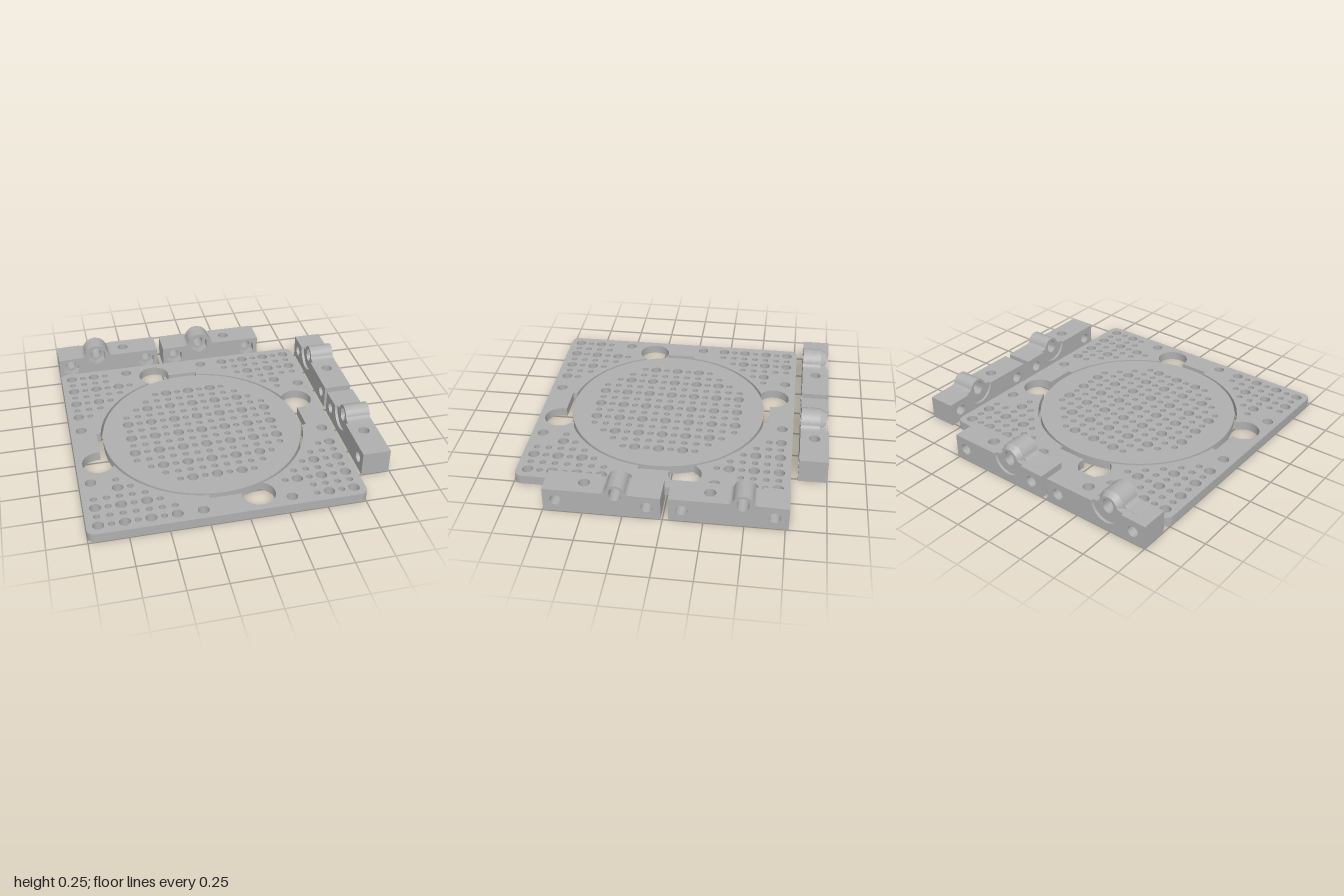
import * as THREE from 'three';
import { toCreasedNormals } from 'three/addons/utils/BufferGeometryUtils.js';

const grey = new THREE.MeshStandardMaterial({ color: 0xb0b0b0 });
grey.name = 'satin grey';

const PITCH = 0.0808, BIG = 0.036, SMALL = 0.021, THICK = 0.062;

function extrude(shape, depth) {
  return new THREE.ExtrudeGeometry(shape, { depth, bevelEnabled: false, curveSegments: 20 });
}

function mesh(parent, name, geo) {
  const m = new THREE.Mesh(toCreasedNormals(geo, 0.5), grey);
  m.name = name;
  parent.add(m);
  return m;
}

const circle = (x, y, r) => new THREE.Path().absarc(x, y, r, 0, Math.PI * 2, false);

// Hexagon with a corner pointing up
function hexagon(x, y, r) {
  const pts = [];
  for (let i = 0; i < 6; i++) {
    const a = Math.PI / 2 + i * Math.PI / 3;
    pts.push(new THREE.Vector2(x + r * Math.cos(a), y + r * Math.sin(a)));
  }
  return new THREE.Path(pts);
}

// Upright slot with round ends
function slot(x, y, r, halfHeight) {
  const s = halfHeight - r;
  return new THREE.Path()
    .absarc(x, y + s, r, 0, Math.PI, false)
    .absarc(x, y - s, r, Math.PI, Math.PI * 2, false);
}

// Grid hole: wide where both indices are even, narrow otherwise
function gridHole(i, j, wide = i % 2 === 0 && j % 2 === 0) {
  return circle(i * PITCH, -j * PITCH, wide ? BIG : SMALL);
}

// Ring opening with four round entries and straight bayonet notches
function ringOpening() {
  const R = 0.69, pts = [];
  for (let k = 0; k < 4; k++) {
    const local = [];
    for (let i = 0; i <= 28; i++) {
      const a = -2.076 - (i / 28) * 4.404;
      local.push([-0.208 + 0.107 * Math.cos(a), 0.733 + 0.107 * Math.sin(a)]);
    }
    local.push([0.1, 0.712]);
    const start = Math.asin(0.1 / R), end = Math.PI / 2 - 0.387;
    for (let i = 0; i < 24; i++) {
      const a = start + (end - start) * i / 24;
      local.push([R * Math.sin(a), R * Math.cos(a)]);
    }
    for (let [u, v] of local) {
      for (let n = 0; n < k; n++) [u, v] = [v, -u];
      pts.push(new THREE.Vector2(u, v));
    }
  }
  return new THREE.Path(pts);
}

function basePlate() {
  const h = 0.8825, r = 0.05, s = new THREE.Shape();
  s.absarc(h - r, h - r, r, 0, Math.PI / 2, false);
  s.absarc(-h + r, h - r, r, Math.PI / 2, Math.PI, false);
  s.absarc(-h + r, -h + r, r, Math.PI, Math.PI * 1.5, false);
  s.absarc(h - r, -h + r, r, Math.PI * 1.5, Math.PI * 2, false);
  s.holes.push(ringOpening());
  // Corner pattern: last column of each row, repeated at four corners
  const lastColumn = [-7, -7, -5, -6, -7, -8, -9];
  const cells = [[-5, -10, true], [-10, -2, true]];
  lastColumn.forEach((last, row) => {
    for (let i = -10; i <= last; i++) {
      if (row === 0 && i === -6) continue;
      cells.push([i, row - 10, undefined]);
    }
  });
  for (let k = 0; k < 4; k++) {
    for (let [i, j, wide] of cells) {
      if (wide === undefined) wide = i % 2 === 0 && j % 2 === 0;
      for (let n = 0; n < k; n++) [i, j] = [-j, i];
      s.holes.push(gridHole(i, j, wide));
    }
  }
  return extrude(s, THICK).rotateX(-Math.PI / 2);
}

function turntable() {
  const s = new THREE.Shape().absarc(0, 0, 0.674, 0, Math.PI * 2, false);
  for (let i = -6; i <= 6; i++)
    for (let j = -6; j <= 6; j++)
      if (i * i + j * j <= 46) s.holes.push(gridHole(i, j));
  return new THREE.ExtrudeGeometry(s, { depth: THICK, bevelEnabled: false, curveSegments: 48 })
    .rotateX(-Math.PI / 2);
}

// Clamp block: length along x, depth along z (negative z when flipped)
function clampBlock(withNuts, flip) {
  const g = new THREE.Group();
  g.name = withNuts ? 'nutClamp' : 'boltClamp';
  const L = 0.735, D = 0.187, H = 0.163, cx = 0.28, a0 = 0.417, a1 = 0.557, boltY = 0.083;
  const place = (name, geo, d0, d1) =>
    mesh(g, name, geo).position.z = flip ? -d1 : d0;

  // Layers from back to front: depths, boss radius at each end, notch radius, hex pockets
  const layers = withNuts
    ? [[0, 0.018, 0, 0, 0.11, false], [0.018, 0.06, 0.064, 0.086, 0.05, false],
      [0.06, 0.125, 0.088, 0.088, 0.07, false], [0.125, D, 0.088, 0.088, 0.07, true]]
    : [[0, 0.018, 0, 0, 0.11, false], [0.018, D, 0.066, 0.066, 0.05, false]];

  for (const [d0, d1, r0, r1, notch, hex] of layers) {
    const bolt = x => hex ? hexagon(x, boltY, 0.063) : circle(x, boltY, 0.037);
    // Long end with cradle for the boss
    const s = new THREE.Shape().moveTo(0, 0).lineTo(a0, 0).lineTo(a0, H);
    if (r0) {
      s.lineTo(cx + r0 + 0.03, H);
      s.quadraticCurveTo(cx + r0, H, cx + 0.92 * r0, H + 0.39 * r0);
    }
    s.lineTo(cx + notch, H);
    s.absarc(cx, H, notch, 0, -Math.PI, true);
    if (r0) {
      s.lineTo(cx - 0.92 * r0, H + 0.39 * r0);
      s.quadraticCurveTo(cx - r0, H, cx - r0 - 0.03, H);
    }
    s.lineTo(0, H - 0.005);
    s.holes.push(bolt(0.086));
    place('clampBody', extrude(s, d1 - d0), d0, d1);

    // Short end
    const e = new THREE.Shape().moveTo(a1, 0).lineTo(L, 0).lineTo(L, H).lineTo(a1, H);
    e.holes.push(bolt(0.652));
    place('clampEnd', extrude(e, d1 - d0), d0, d1);

    // Round boss, tapered where its end radii differ
    if (r0) {
      const b = new THREE.Shape().absarc(0, 0, r1, 0, Math.PI * 2, false);
      b.holes.push(hex ? hexagon(0, 0, 0.068) : slot(0, 0, 0.037, 0.049));
      const geo = extrude(b, d1 - d0), p = geo.attributes.position;
      for (let i = 0; i < p.count; i++) {
        const x = p.getX(i), y = p.getY(i);
        if (p.getZ(i) < 1e-5 && Math.hypot(x, y) > r1 * 0.95)
          p.setXY(i, x * r0 / r1, y * r0 / r1);
      }
      geo.translate(cx, H, 0);
      place('boss', geo, d0, d1);
    }
  }

  // Middle section with an upright screw hole and a nut pocket below
  const middle = (hole, y, h) => {
    const w = (a1 - a0) / 2, d = D / 2;
    const s = new THREE.Shape().moveTo(-w, -d).lineTo(w, -d).lineTo(w, d).lineTo(-w, d);
    s.holes.push(hole);
    const m = mesh(g, 'clampMiddle', extrude(s, h).rotateX(-Math.PI / 2));
    m.position.set((a0 + a1) / 2, y, flip ? -d : d);
  };
  middle(hexagon(0, 0, 0.063), 0, 0.05);
  middle(circle(0, 0, 0.037), 0.05, H - 0.05);
  return g;
}

export function createModel() {
  const model = new THREE.Group();
  model.name = 'perforatedClampPlate';
  for (const [name, geo] of [['basePlate', basePlate()], ['turntable', turntable()]])
    mesh(model, name, geo).position.set(-0.1175, 0, 0.1155);

  // Nut clamps along the back
  for (const x of [-1, -0.219]) {
    const c = clampBlock(true, false);
    c.position.set(x, 0, -1);
    model.add(c);
  }
  // Bolt clamps along the side
  for (const z of [-0.77, 0.011]) {
    const c = clampBlock(false, true);
    c.rotation.y = -Math.PI / 2;
    c.position.set(0.81, 0, z);
    model.add(c);
  }
  return model;
}
